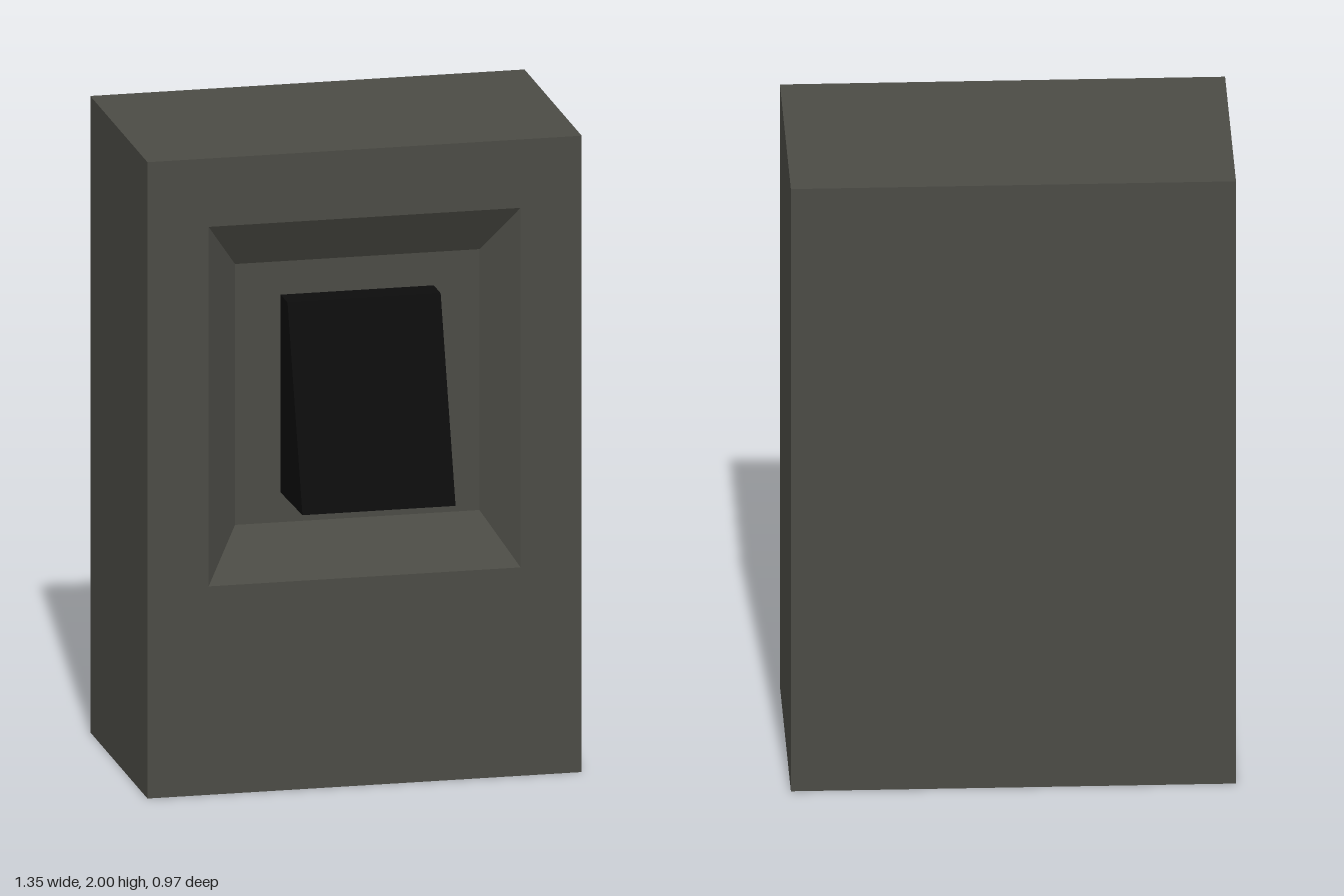
import * as THREE from 'three';

// Flat-sided skin over a row of rectangular sections, closed at both ends.
// Each section lists its four corners counter-clockwise as seen from the front.
function skin(sections) {
  const pos = [];
  const quad = (a, b, c, d) => pos.push(...a, ...b, ...c, ...a, ...c, ...d);
  for (let s = 0; s < sections.length - 1; s++) {
    const p = sections[s], q = sections[s + 1];
    for (let i = 0; i < 4; i++) {
      const j = (i + 1) % 4;
      quad(p[i], p[j], q[j], q[i]);
    }
  }
  const first = sections[0], last = sections[sections.length - 1];
  quad(first[3], first[2], first[1], first[0]);
  quad(...last);
  const geometry = new THREE.BufferGeometry();
  geometry.setAttribute('position', new THREE.Float32BufferAttribute(pos, 3));
  geometry.computeVertexNormals();
  return geometry;
}

// Section of half width w; the bottom and top edges may lie at different depths
const section = (w, y0, y1, z0, z1 = z0) =>
  [[-w, y0, z0], [w, y0, z0], [w, y1, z1], [-w, y1, z1]];

export function createModel() {
  const model = new THREE.Group();
  const casing = new THREE.MeshStandardMaterial({ color: 0x4b4b45 });
  casing.name = 'dark grey casing';
  const black = new THREE.MeshStandardMaterial({ color: 0x0c0c0c });
  black.name = 'black';

  const add = (name, geometry, material) => {
    const mesh = new THREE.Mesh(geometry, material);
    mesh.name = name;
    model.add(mesh);
  };

  // Upright block whose front turns inward into a bevelled recess
  add('body', skin([
    section(0.675, 0, 2, -0.485),
    section(0.675, 0, 2, 0.29),
    section(0.485, 0.655, 1.785, 0.29),
    section(0.38, 0.815, 1.635, 0.19),
  ]), casing);

  // Wedge standing on the recess floor, thickest at its lower edge
  add('wedge', skin([
    section(0.238, 0.908, 1.53, 0.188),
    section(0.238, 0.916, 1.53, 0.485, 0.283),
  ]), black);

  return model;
}
